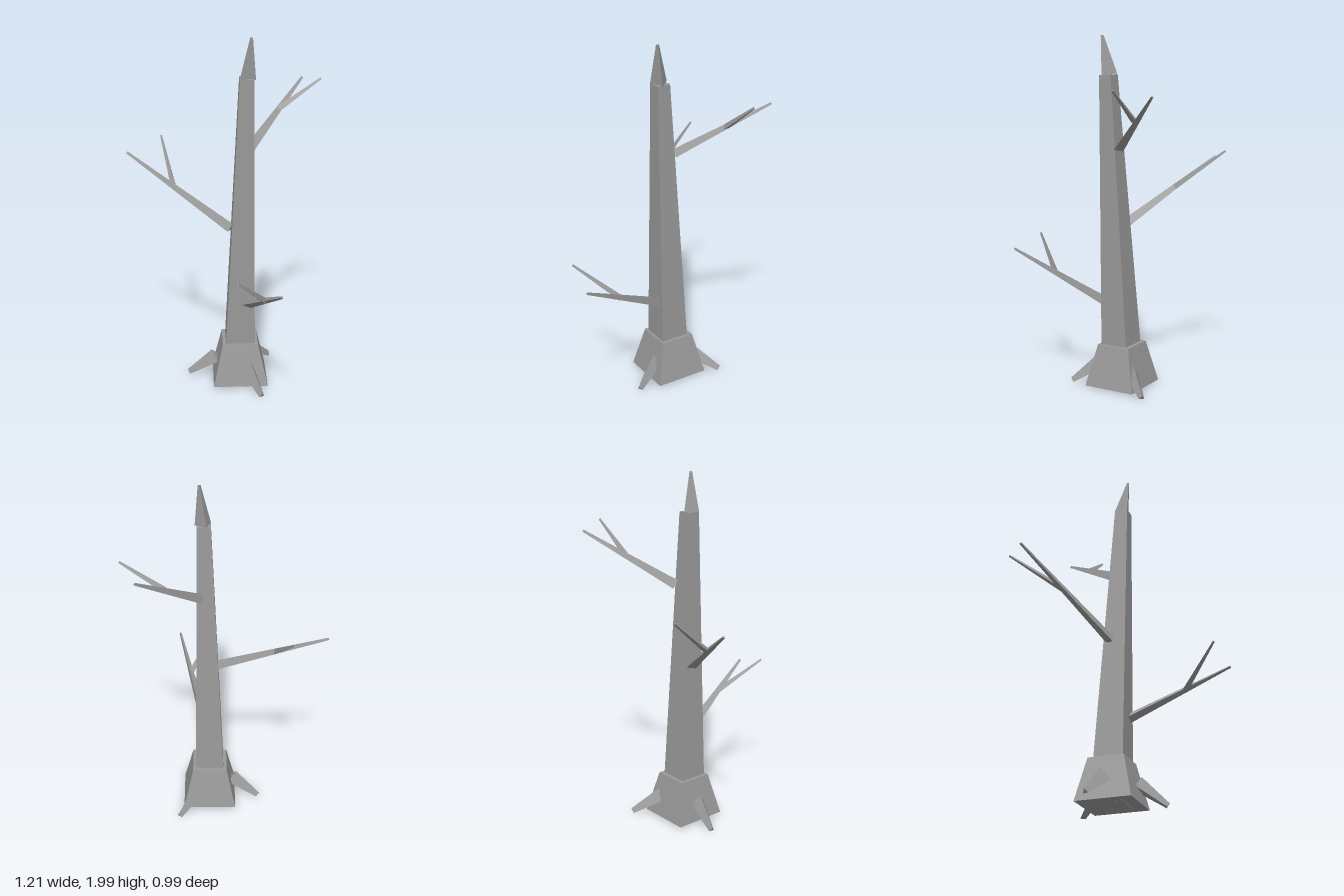
import * as THREE from 'three';

const wood = new THREE.MeshStandardMaterial({ color: 0x999999, flatShading: true });
wood.name = 'greyWood';

// Straight tapered prism between two points; for three sides, one flat side looks along "face"
function taper(name, from, to, r0, r1, sides, face) {
  const a = new THREE.Vector3(...from), b = new THREE.Vector3(...to);
  const y = b.clone().sub(a);
  const length = y.length();
  y.normalize();
  const z = new THREE.Vector3(...face).negate();
  z.addScaledVector(y, -z.dot(y)).normalize();
  const x = new THREE.Vector3().crossVectors(y, z);
  const geometry = new THREE.CylinderGeometry(r1, r0, length, sides, 1);
  geometry.applyMatrix4(new THREE.Matrix4().makeBasis(x, y, z).setPosition(a.add(b).multiplyScalar(0.5)));
  const mesh = new THREE.Mesh(geometry, wood);
  mesh.name = name;
  return mesh;
}

export function createModel() {
  const tree = new THREE.Group();
  tree.name = 'deadTree';

  // Leaning trunk, broken tip and flared foot
  tree.add(taper('trunk', [0.03, 0.02, 0.058], [0.105, 1.785, 0.078], 0.125, 0.053, 4, [0, 0, -1]));
  tree.add(taper('brokenTip', [0.105, 1.785, 0.08], [0.14, 2, 0.081], 0.052, 0.009, 3, [0, 0, -1]));
  tree.add(taper('trunkFlare', [0.035, 0.02, 0.057], [0.035, 0.26, 0.057], 0.217, 0.141, 4, [0, 0, -1]));

  // Branches, each with one side twig
  const branches = [
    { name: 'rightBranch', from: [0.01, 0.935, 0.1], to: [-0.603, 1.293, 0.3],
      fork: [-0.325, 1.13, 0.205], end: [-0.578, 1.348, 0.055], face: [0, 0.5, 0.87] },
    { name: 'leftBranch', from: [0.115, 0.5, 0.085], to: [0.602, 0.78, 0.363],
      fork: [0.382, 0.65, 0.24], end: [0.424, 0.843, 0.494], face: [-0.4, 0.8, 0.4] },
    { name: 'backBranch', from: [0.065, 1.385, 0.005], to: [0.016, 1.688, -0.495],
      fork: [0.045, 1.55, -0.262], end: [0.204, 1.718, -0.43], face: [0.6, 0.6, 0] },
  ];
  for (const { name, from, to, fork, end, face } of branches) {
    const branch = new THREE.Group();
    branch.name = name;
    branch.add(taper('limb', from, to, 0.031, 0.008, 3, face));
    branch.add(taper('twig', fork, end, 0.019, 0.007, 3, face));
    tree.add(branch);
  }

  // Ridged roots reaching out of the flare
  const roots = [
    ['leftRoot', [0.15, 0.135, 0.11], [0.302, 0.022, 0.165]],
    ['rightRoot', [-0.06, 0.14, 0.15], [-0.197, 0.022, 0.237]],
    ['backRoot', [0.01, 0.14, -0.05], [-0.003, 0.024, -0.238]],
  ];
  for (const [name, from, to] of roots) {
    tree.add(taper(name, from, to, 0.048, 0.018, 3, [0, -1, 0]));
  }
  return tree;
}
